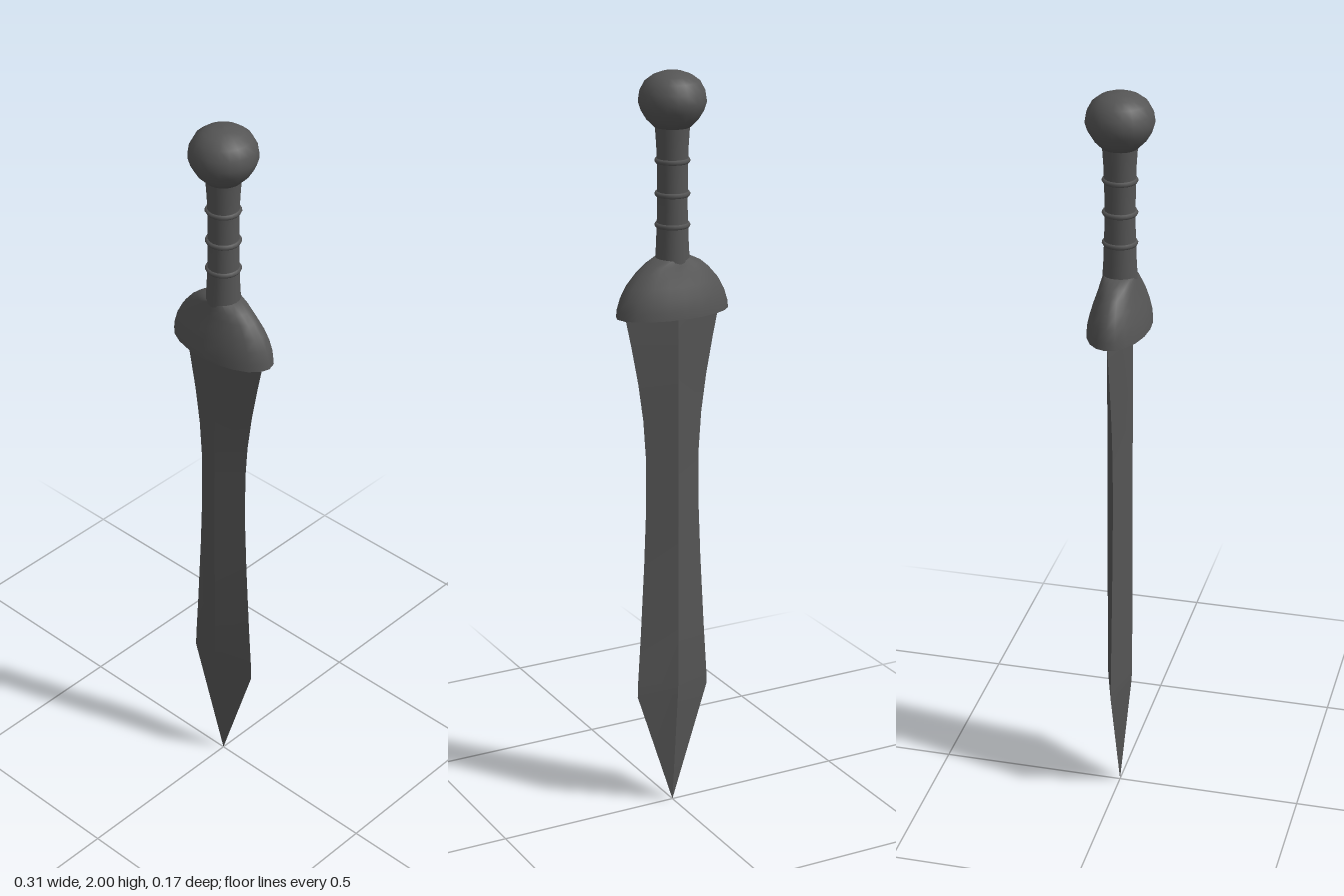
import * as THREE from 'three';
import { toCreasedNormals } from 'three/addons/utils/BufferGeometryUtils.js';

const material = new THREE.MeshStandardMaterial({ color: 0x555555 });

// Skin stacked elliptical rings; each section is [y, half width, half depth], bottom to top
function loft(sections, sides, crease) {
  const positions = [], index = [];
  for (const [y, w, d] of sections) {
    for (let i = 0; i < sides; i++) {
      const a = (i / sides) * Math.PI * 2;
      positions.push(w * Math.cos(a), y, d * Math.sin(a));
    }
  }
  for (let s = 0; s < sections.length - 1; s++) {
    for (let i = 0; i < sides; i++) {
      const a = s * sides + i, b = s * sides + ((i + 1) % sides);
      index.push(a, a + sides, b, b, a + sides, b + sides);
    }
  }
  const geometry = new THREE.BufferGeometry();
  geometry.setAttribute('position', new THREE.Float32BufferAttribute(positions, 3));
  geometry.setIndex(index);
  return toCreasedNormals(geometry, crease);
}

function lathe(points, sides) {
  return new THREE.LatheGeometry(points.map(([r, y]) => new THREE.Vector2(r, y)), sides);
}

export function createModel() {
  const group = new THREE.Group();
  const add = (name, geometry) => {
    const mesh = new THREE.Mesh(geometry, material);
    mesh.name = name;
    group.add(mesh);
    return mesh;
  };

  // Waisted blade with a diamond section and a long point
  const t = 0.034;
  add('blade', loft([
    [0, 0, 0], [0.325, 0.105, 0.032], [0.36, 0.104, t], [0.5, 0.095, t], [0.7, 0.084, t],
    [0.85, 0.078, t], [1.0, 0.078, t], [1.1, 0.085, t], [1.2, 0.099, t],
    [1.3, 0.118, t], [1.38, 0.135, t], [1.42, 0.135, t],
  ], 4, 0.3));

  // Domed guard, round from the front and flared from the side, with a flat underside
  add('guard', loft([
    [1.38, 0, 0], [1.38, 0.157, 0.079], [1.4, 0.155, 0.077], [1.43, 0.146, 0.07],
    [1.46, 0.13, 0.061], [1.49, 0.104, 0.051], [1.51, 0.08, 0.046],
    [1.525, 0.05, 0.042], [1.532, 0, 0],
  ], 20, 0.9));

  // Slightly waisted grip
  add('grip', lathe([
    [0.045, 1.51], [0.042, 1.56], [0.039, 1.65], [0.039, 1.74], [0.041, 1.81], [0.045, 1.87],
  ], 20));

  // Raised bands around the grip
  for (const y of [1.61, 1.69, 1.775]) {
    const ring = add('gripRing', new THREE.TorusGeometry(0.039, 0.007, 6, 20));
    ring.rotation.x = Math.PI / 2;
    ring.position.y = y;
  }

  // Rounded pommel
  add('pommel', lathe([
    [0, 1.86], [0.046, 1.86], [0.066, 1.88], [0.08, 1.903], [0.087, 1.925], [0.083, 1.95],
    [0.07, 1.974], [0.05, 1.989], [0.026, 1.998], [0, 2],
  ], 20));

  return group;
}
